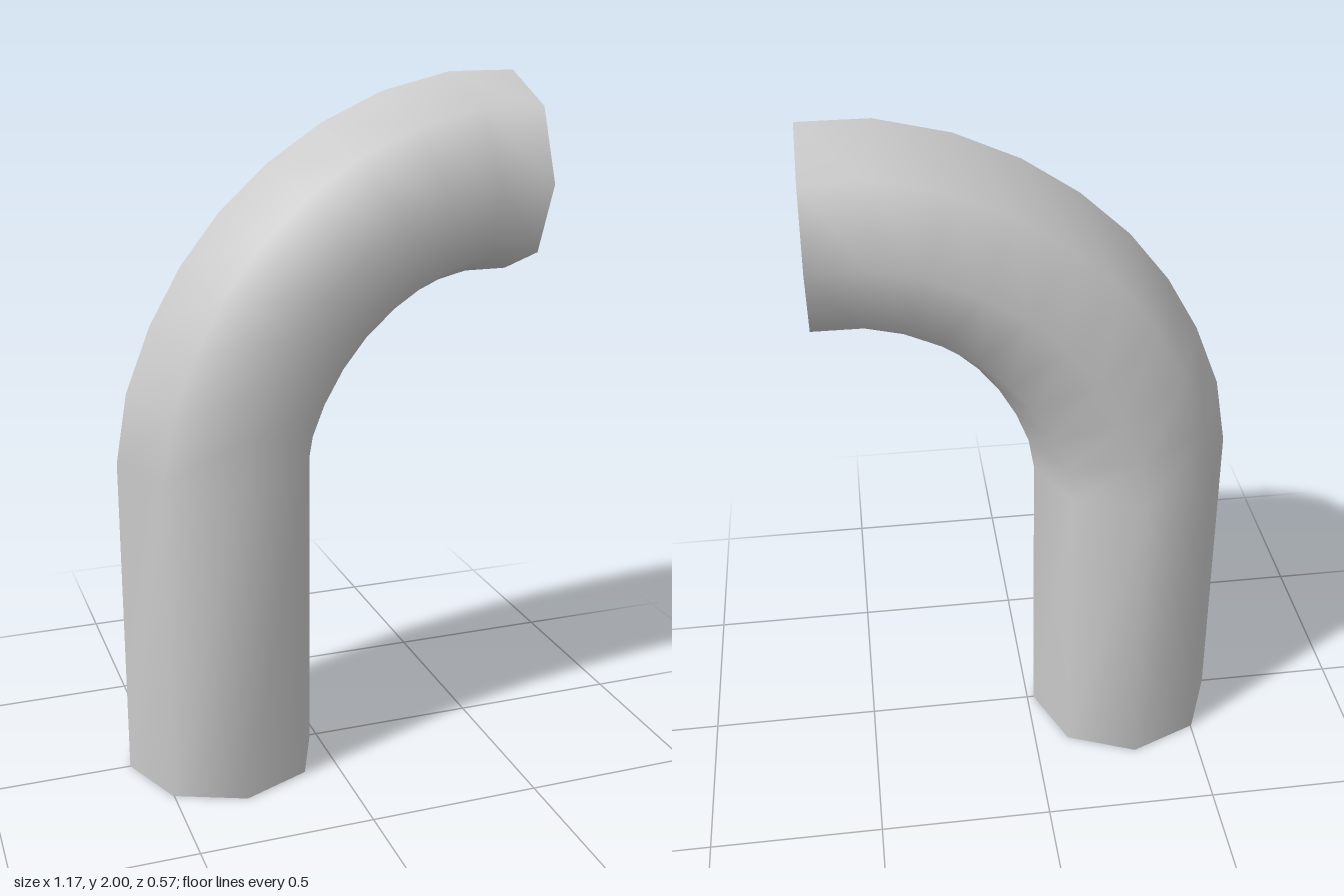
import * as THREE from 'three';

const SIDES = 8;
const OUTER = 0.283;
const INNER = 0.247;

// Centre line in the xy plane: upright leg, bend, short level outlet
const path = [
  [-0.303, 0], [-0.303, 0.935], [-0.278, 1.082], [-0.224, 1.22], [-0.155, 1.342],
  [-0.071, 1.449], [0.035, 1.546], [0.152, 1.624], [0.283, 1.683], [0.425, 1.717], [0.586, 1.717],
].map(([x, y]) => new THREE.Vector2(x, y));

// Octagonal ring at each path point, mitred between its neighbouring segments
function sweepRings(radius) {
  return path.map((p, i) => {
    const a = path[Math.max(i - 1, 0)], b = path[Math.min(i + 1, path.length - 1)];
    const before = (i ? p.clone().sub(a) : b.clone().sub(p)).normalize();
    const after = (b === p ? p.clone().sub(a) : b.clone().sub(p)).normalize();
    const t = before.clone().add(after).normalize();
    const stretch = radius / t.dot(before);
    return Array.from({ length: SIDES }, (_, j) => {
      const angle = (j / SIDES) * Math.PI * 2;
      const r = Math.cos(angle) * stretch;
      return new THREE.Vector3(p.x - t.y * r, p.y + t.x * r, Math.sin(angle) * radius);
    });
  });
}

// Skin a list of closed rings
function loft(name, rings, material) {
  const index = [];
  for (let i = 0; i < rings.length - 1; i++) {
    for (let j = 0; j < SIDES; j++) {
      const k = (j + 1) % SIDES;
      const a = i * SIDES + j, b = i * SIDES + k;
      index.push(a, b, b + SIDES, a, b + SIDES, a + SIDES);
    }
  }
  const geometry = new THREE.BufferGeometry().setFromPoints(rings.flat());
  geometry.setIndex(index);
  geometry.computeVertexNormals();
  const mesh = new THREE.Mesh(geometry, material);
  mesh.name = name;
  return mesh;
}

export function createModel() {
  const material = new THREE.MeshStandardMaterial({ color: 0xcccccc });
  const outer = sweepRings(OUTER);
  const inner = sweepRings(INNER);
  const last = path.length - 1;

  const pipe = new THREE.Group();
  pipe.name = 'bentPipe';
  pipe.add(
    loft('outerWall', outer, material),
    loft('innerWall', [...inner].reverse(), material),
    loft('bottomRim', [inner[0], outer[0]], material),
    loft('outletRim', [outer[last], inner[last]], material),
  );
  return pipe;
}
